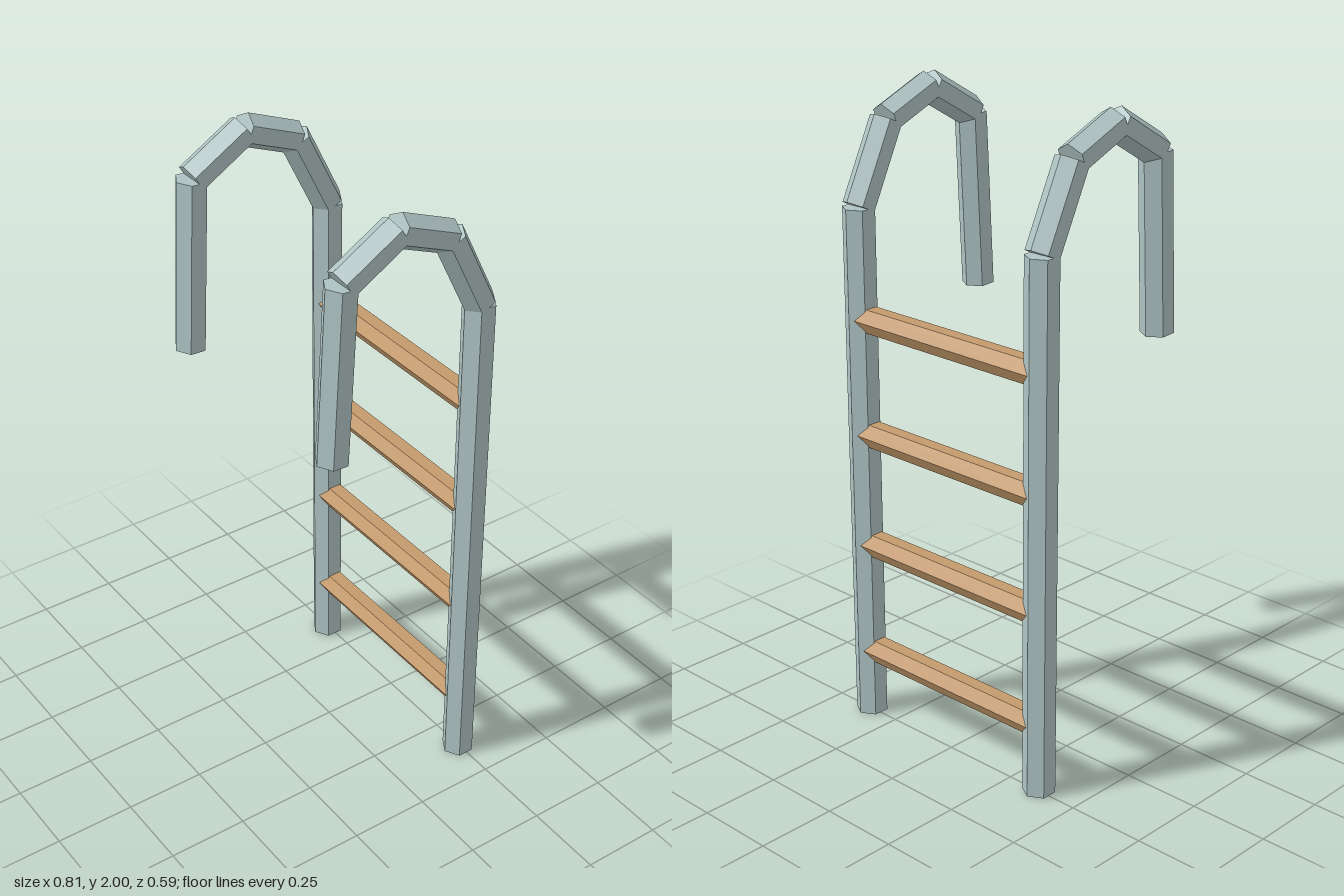
import * as THREE from 'three';

// Hexagonal bar between two points, with corners kept in the plane of its bend
function hexBar(name, from, to, radius, material) {
  const dir = new THREE.Vector3().subVectors(to, from);
  const mesh = new THREE.Mesh(new THREE.CylinderGeometry(radius, radius, dir.length(), 6), material);
  mesh.name = name;
  mesh.position.addVectors(from, to).multiplyScalar(0.5);
  mesh.quaternion.setFromUnitVectors(new THREE.Vector3(0, 1, 0), dir.normalize());
  return mesh;
}

export function createModel() {
  const metal = new THREE.MeshStandardMaterial({ color: 0xb0c4c4, flatShading: true });
  metal.name = 'paleMetal';
  const wood = new THREE.MeshStandardMaterial({ color: 0xc49a6c, flatShading: true });
  wood.name = 'wood';

  const model = new THREE.Group();
  model.name = 'poolLadder';
  const railX = 0.361, railZ = -0.246;

  // Side rails: upright post, then straight segments hooking over to the front (z, y)
  const path = [[railZ, 0], [railZ, 1.641], [-0.13, 1.88], [0.043, 1.952], [0.218, 1.849], [0.246, 1.307]];
  const parts = ['post', 'hookRise', 'hookTopBack', 'hookTopFront', 'handle'];
  for (const side of [-1, 1]) {
    const rail = new THREE.Group();
    rail.name = side > 0 ? 'leftRail' : 'rightRail';
    const points = path.map(([z, y]) => new THREE.Vector3(side * railX, y, z));
    parts.forEach((part, i) => rail.add(hexBar(part, points[i], points[i + 1], 0.05, metal)));
    model.add(rail);
  }

  // Rungs, with a ridge facing front and back
  for (let i = 0; i < 4; i++) {
    const y = 0.221 + i * 0.3617;
    const rung = new THREE.Mesh(new THREE.CylinderGeometry(0.042, 0.042, railX * 2, 6), wood);
    rung.name = 'rung' + (i + 1);
    rung.rotation.z = Math.PI / 2;
    rung.position.set(0, y, railZ);
    model.add(rung);
  }
  return model;
}
